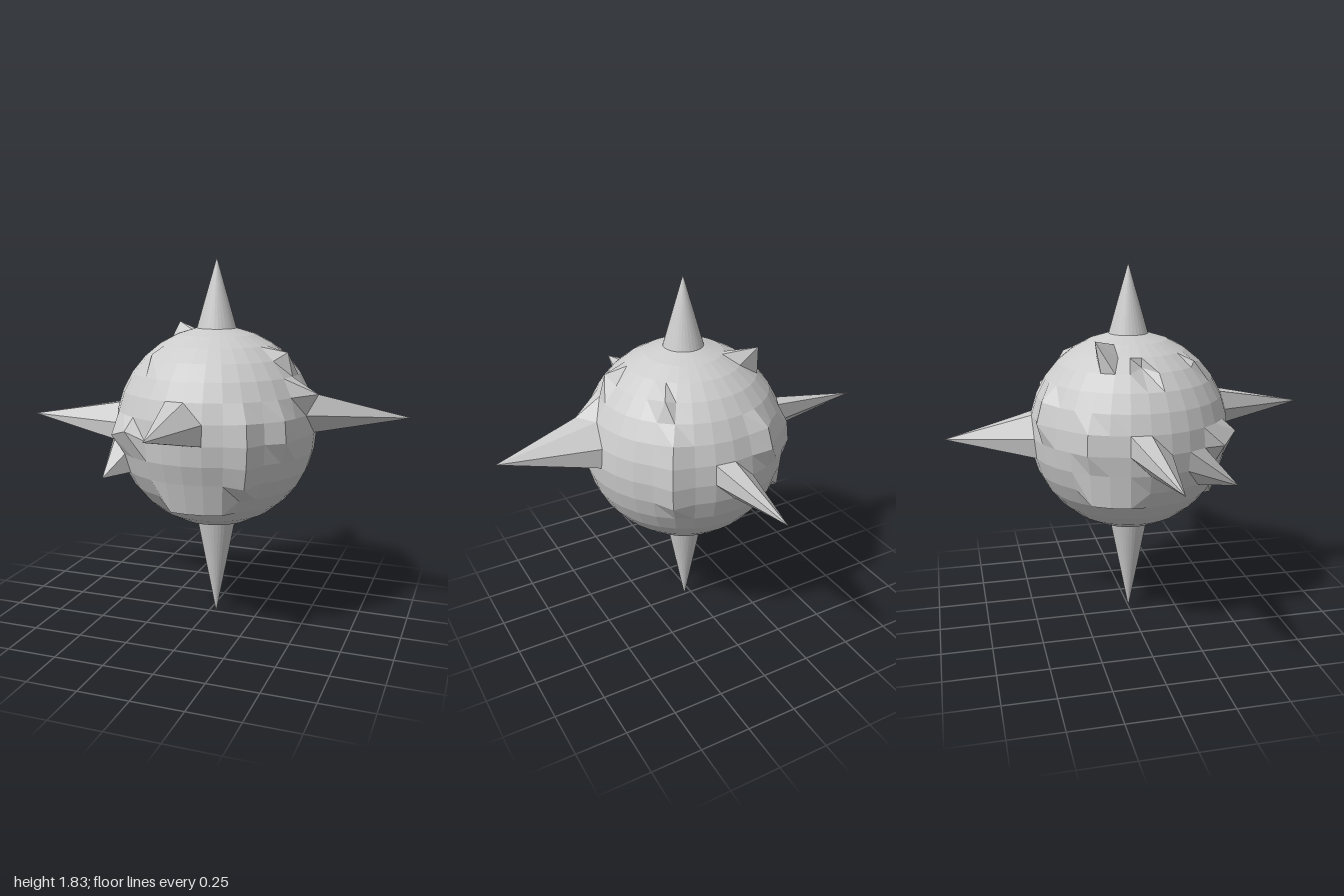
import * as THREE from 'three';

const COLS = 32, ROWS = 16, RADIUS = 0.5;
const CENTRE = new THREE.Vector3(0.04, 1, 0);

export function createModel() {
  const group = new THREE.Group();
  group.name = 'spikedBall';

  const ball = new THREE.SphereGeometry(RADIUS, COLS, ROWS);
  const pos = ball.attributes.position;
  pos.needsUpdate = true;
  ball.translate(CENTRE.x, CENTRE.y, CENTRE.z);

  // Grid columns: 0 = -x, 8 = +z, 16 = +x, 24 = -z; the seam column is moved with column 0.
  const indices = (col, row) => {
    const first = row * (COLS + 1) + col;
    return col === 0 ? [first, first + COLS] : [first];
  };
  const pull = (col, row, x, y, z) => {
    for (const i of indices(col, row)) pos.setXYZ(i, x, y, z);
  };
  const p = new THREE.Vector3();
  const bulge = (cols, rows, scale, lift = 0) => {
    for (const col of cols) for (const row of rows) for (const i of indices(col, row)) {
      p.fromBufferAttribute(pos, i).sub(CENTRE).multiplyScalar(scale).add(CENTRE);
      pos.setXYZ(i, p.x, p.y + lift, p.z);
    }
  };

  // Round spikes at the poles
  for (let col = 0; col <= COLS; col++) {
    pos.setXYZ(col, 0.04, 1.83, 0);
    pos.setXYZ(ROWS * (COLS + 1) + col, 0.04, 0, 0);
  }

  // Four-sided spikes around the middle
  pull(8, 7, 0.04, 1.1, 0.91);
  pull(24, 8, 0.04, 1.0, -0.92);
  pull(0, 8, -1, 1.0, 0);
  pull(16, 7, 1, 1.1, 0);

  // Small bent horn at the front right
  pull(5, 8, -0.25, 1.04, 0.47);
  pull(4, 8, -0.36, 1.0, 0.38);
  pull(3, 9, -0.38, 0.8, 0.45);

  // Jagged chips on the upper half
  pull(29, 3, -0.24, 1.5, -0.22);
  pull(15, 4, 0.42, 1.39, 0.07);
  pull(15, 6, 0.575, 1.2, 0.08);
  pull(0, 4, -0.24, 1.37, 0);
  pull(5, 4, -0.19, 1.38, 0.27);
  pull(20, 4, 0.29, 1.37, -0.29);

  // Raised ridges and ledges
  bulge([11], [7, 8, 9, 10], 1.07);
  bulge([21], [6, 7, 8, 9], 1.07);
  bulge([29], [7, 8], 1.04);
  bulge([26], [6, 7], 1.08);
  bulge([13], [7, 8], 1.05);
  bulge([29, 30, 31], [10], 1.03, -0.06);
  bulge([7, 8, 9, 10], [11], 1.02, -0.06);

  const body = ball.toNonIndexed();
  body.computeVertexNormals();
  const mesh = new THREE.Mesh(body, new THREE.MeshStandardMaterial({
    color: 0xcccccc, flatShading: true, side: THREE.DoubleSide,
  }));
  mesh.name = 'spikedBody';
  group.add(mesh);
  return group;
}
